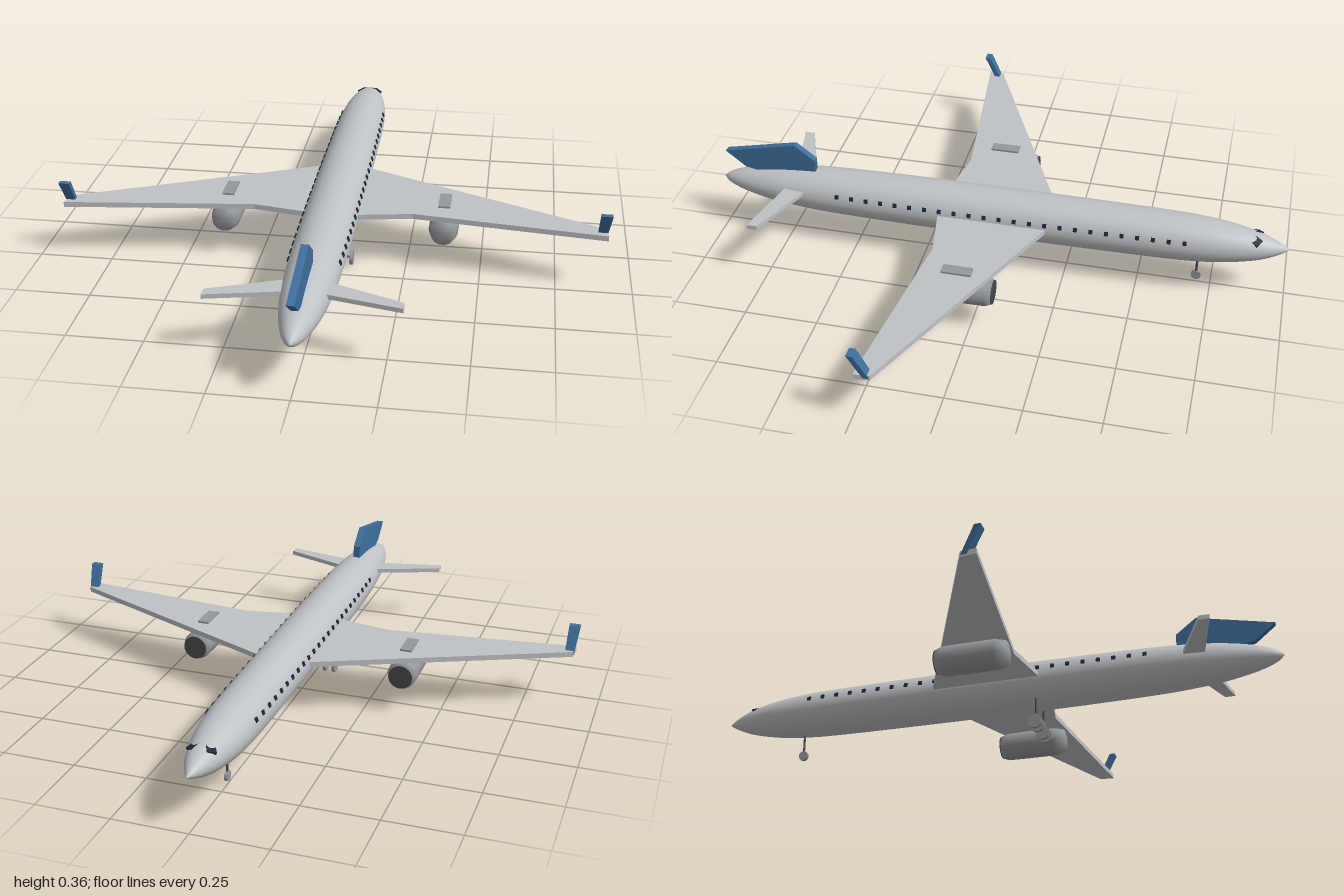
import * as THREE from 'three';

const mat = (name, color, side = THREE.FrontSide) => {
  const m = new THREE.MeshStandardMaterial({ color, side });
  m.name = name;
  return m;
};

// Extruded outline from [u, v] points
function slab(points, depth) {
  const shape = new THREE.Shape(points.map(([u, v]) => new THREE.Vector2(u, v)));
  return new THREE.ExtrudeGeometry(shape, { depth, bevelEnabled: false });
}

// Horizontal surface spanning both sides: half outline in [x, z], top height and thickness
function span(half, top, thickness) {
  const other = half.map(([x, z]) => [-x, z]).reverse();
  return slab([...half, ...other], thickness).rotateX(Math.PI / 2).translate(0, top, 0);
}

export function createModel() {
  const plane = new THREE.Group();
  plane.name = 'airliner';
  const body = mat('light grey', 0xbfc2c5);
  const metal = mat('engine grey', 0x95989b);
  const blue = mat('tail blue', 0x3f6f9c);
  const glass = mat('window navy', 0x1c2a3a);
  const dark = mat('dark grey', 0x45484b);

  const add = (name, geometry, material, x = 0, y = 0, z = 0) => {
    const mesh = new THREE.Mesh(geometry, material);
    mesh.name = name;
    mesh.position.set(x, y, z);
    plane.add(mesh);
    return mesh;
  };

  // Fuselage: slightly flattened body of revolution, nose towards -z
  const axisY = 0.184;
  const profile = new THREE.SplineCurve([
    [0, -1], [0.022, -0.965], [0.049, -0.9], [0.071, -0.8], [0.082, -0.7], [0.087, -0.58],
    [0.09, -0.3], [0.091, 0], [0.09, 0.3], [0.086, 0.55], [0.08, 0.68], [0.068, 0.8],
    [0.046, 0.91], [0.022, 0.975], [0, 1],
  ].map(([r, z]) => new THREE.Vector2(r, z)));
  const points = profile.getPoints(56);
  points.forEach((p) => { p.x = Math.max(p.x, 0); });
  add('fuselage', new THREE.LatheGeometry(points, 36).rotateX(Math.PI / 2).scale(1, 0.93, 1),
    body, 0, axisY, 0);

  // Half width of the fuselage at a given z
  const radiusAt = (z) => {
    const i = Math.max(1, points.findIndex((p) => p.y >= z));
    const a = points[i - 1], b = points[i];
    return a.x + (b.x - a.x) * (z - a.y) / (b.y - a.y);
  };

  // Wings and tailplane
  add('wings', span([[0, -0.225], [0.905, 0.18], [0.91, 0.232], [0.27, 0.158], [0, 0.205]], 0.197, 0.018), body);
  add('tailplane', span([[0, 0.65], [0.3, 0.765], [0.3, 0.8], [0, 0.735]], 0.21, 0.015), body);

  // Tail fin, outlined in [z, y]
  const fin = slab([[0.98, 0.3], [0.72, 0.357], [0.65, 0.303], [0.65, 0.235], [0.8, 0.22], [0.91, 0.243]], 0.024);
  add('tailFin', fin.translate(0, 0, -0.012).rotateY(-Math.PI / 2).scale(1, 1, 1), blue);

  // Engine nacelle profile, in [radius, z]
  const nacelle = [[0, -0.07], [0.041, -0.07], [0.049, -0.05], [0.05, 0.02], [0.05, 0.13], [0.041, 0.165], [0, 0.165]]
    .map(([r, z]) => new THREE.Vector2(r, z));

  for (const s of [1, -1]) {
    const side = s > 0 ? 'left' : 'right';

    // Winglet, leaning towards the tail
    const winglet = slab([[0.877, 0.185], [0.907, 0.185], [0.917, 0.273], [0.88, 0.273]].map(([x, y]) => [s * x, y]), 0.02);
    const p = winglet.attributes.position;
    for (let i = 0; i < p.count; i++) p.setZ(i, p.getZ(i) + 0.182 + (p.getY(i) - 0.185) * 0.5);
    winglet.computeVertexNormals();
    add(side + 'Winglet', winglet, blue);

    // Engine, intake and pylon block through the wing
    const engine = new THREE.LatheGeometry(nacelle, 24).rotateX(Math.PI / 2);
    add(side + 'Engine', engine, metal, s * 0.372, 0.133, 0);
    add(side + 'Intake', new THREE.CylinderGeometry(0.041, 0.041, 0.004, 24).rotateX(Math.PI / 2),
      dark, s * 0.372, 0.133, -0.071);
    add(side + 'Pylon', new THREE.BoxGeometry(0.04, 0.035, 0.1), metal, s * 0.37, 0.186, 0.05);

    // Row of cabin windows
    for (let i = 0; i < 24; i++) {
      const z = -0.655 + i * 0.0525;
      const y = 0.212;
      const r = radiusAt(z);
      const x = r * Math.sqrt(1 - ((y - axisY) / (0.93 * r)) ** 2);
      const pane = add(side + 'CabinWindow', new THREE.BoxGeometry(0.008, 0.014, 0.013), glass, s * x, y, z);
      pane.rotation.z = s * 0.3;
    }

    // Cockpit window
    const pane = add(side + 'CockpitWindow', new THREE.BoxGeometry(0.03, 0.009, 0.03), glass, s * 0.028, 0.221, -0.886);
    pane.rotation.set(-0.3, s * -0.5, s * -0.45);

    // Main landing gear with paired wheels
    add(side + 'GearStrut', new THREE.CylinderGeometry(0.004, 0.004, 0.1, 8), dark, s * 0.05, 0.075, 0.17);
    add(side + 'GearAxle', new THREE.CylinderGeometry(0.004, 0.004, 0.034, 8).rotateZ(Math.PI / 2),
      dark, s * 0.051, 0.027, 0.17);
    for (const x of [0.034, 0.067])
      add(side + 'MainWheel', new THREE.CylinderGeometry(0.025, 0.025, 0.011, 16).rotateZ(Math.PI / 2),
        metal, s * x, 0.025, 0.17);
  }

  // Nose gear
  add('noseGearStrut', new THREE.CylinderGeometry(0.004, 0.004, 0.09, 8), dark, 0, 0.075, -0.7);
  add('noseWheel', new THREE.CylinderGeometry(0.017, 0.017, 0.011, 16).rotateZ(Math.PI / 2), metal, 0, 0.029, -0.7);

  return plane;
}
